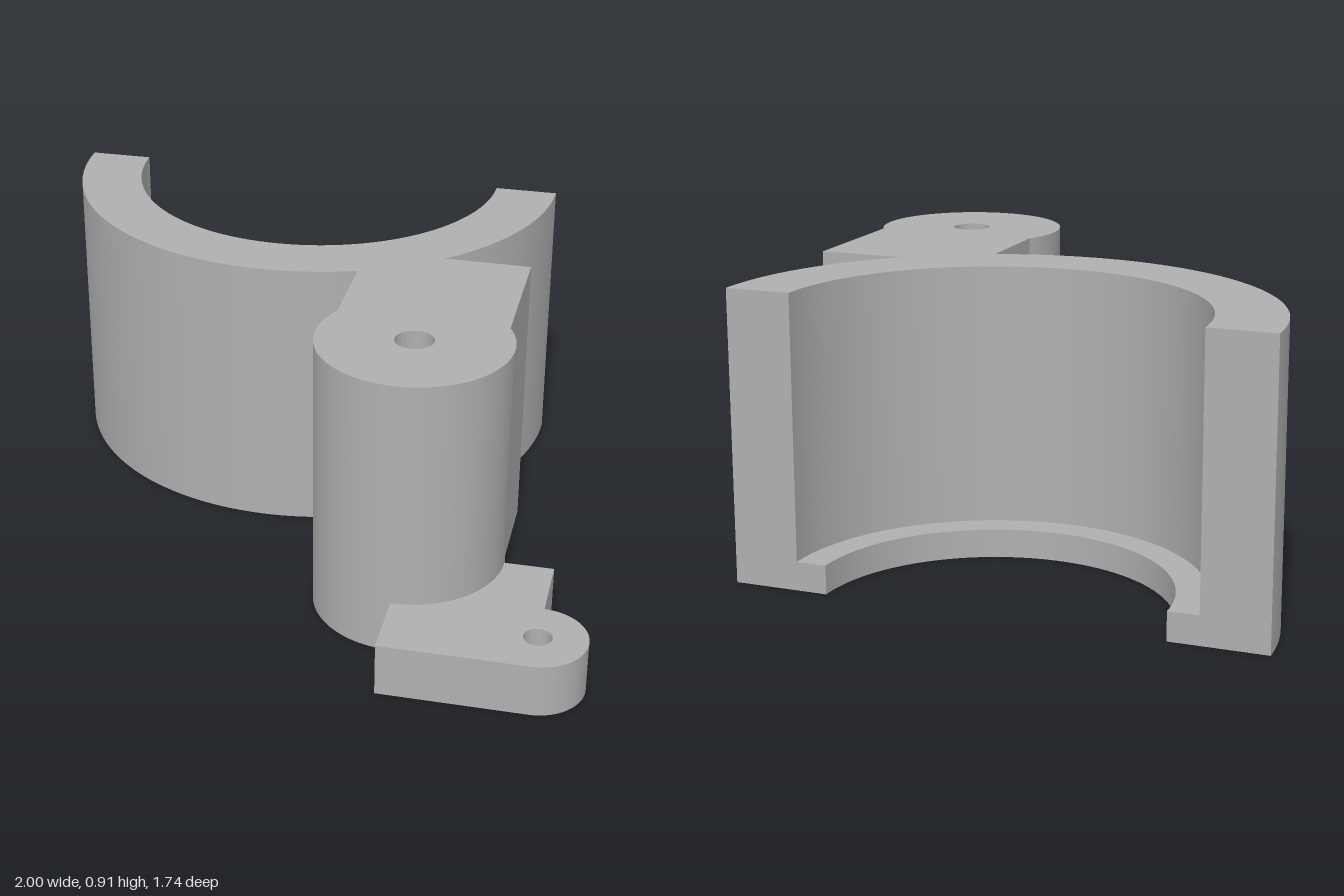
import * as THREE from 'three';
import { toCreasedNormals } from 'three/addons/utils/BufferGeometryUtils.js';

const HEIGHT = 0.907, PAD_HEIGHT = 0.17, LIP_HEIGHT = 0.09;
const RING = { x: -0.17, y: 0.87, outer: 0.83, inner: 0.625, lip: 0.53 };
const BOSS = { x: 0.395, y: -0.34, r: 0.3, hole: 0.06 };
const ARM = { left: 0.13, right: 0.66, back: 0.25 };
const EAR = { x: 0.85, y: -0.715, r: 0.15, hole: 0.043 };
const PI = Math.PI;

export function createModel() {
  const group = new THREE.Group();
  const grey = new THREE.MeshStandardMaterial({ color: 0xb0b0b0 });
  grey.name = 'grey';

  // Plan outlines use shape y = -z and are extruded upwards from the ground
  const addPart = (name, shape, height) => {
    const geo = new THREE.ExtrudeGeometry(shape, { depth: height, bevelEnabled: false, curveSegments: 64 });
    geo.rotateX(-PI / 2);
    const mesh = new THREE.Mesh(toCreasedNormals(geo, 0.4), grey);
    mesh.name = name;
    group.add(mesh);
  };
  const addHole = (shape, c) => {
    shape.holes.push(new THREE.Path().absarc(c.x, c.y, c.hole, 0, 2 * PI, true));
  };

  // Half-ring clamp joined to the arm and its round boss
  const armAngle = Math.acos((ARM.left - RING.x) / RING.outer);
  const backAngle = Math.asin((RING.y - ARM.back) / RING.outer);
  const bossAngle = Math.acos((ARM.right - BOSS.x) / BOSS.r);
  const body = new THREE.Shape();
  body.moveTo(RING.x - RING.outer, RING.y);
  body.absarc(RING.x, RING.y, RING.outer, PI, 2 * PI - armAngle, false);
  body.absarc(BOSS.x, BOSS.y, BOSS.r, PI - bossAngle, 2 * PI + bossAngle, false);
  body.lineTo(ARM.right, ARM.back);
  body.absarc(RING.x, RING.y, RING.outer, 2 * PI - backAngle, 2 * PI, false);
  body.absarc(RING.x, RING.y, RING.inner, 2 * PI, PI, true);
  body.closePath();
  addHole(body, BOSS);
  addPart('clampBody', body, HEIGHT);

  // Thin inner ledge at the bottom of the half ring
  const lip = new THREE.Shape();
  lip.absarc(RING.x, RING.y, RING.inner, PI, 2 * PI, false);
  lip.absarc(RING.x, RING.y, RING.lip, 2 * PI, PI, true);
  lip.closePath();
  addPart('innerLip', lip, LIP_HEIGHT);

  // Low mounting pad with a rounded ear; its corner covers a quarter of the boss hole
  const pad = new THREE.Shape();
  pad.moveTo(BOSS.x, BOSS.y);
  pad.lineTo(BOSS.x, EAR.y - EAR.r);
  pad.absarc(EAR.x, EAR.y, EAR.r, -PI / 2, PI / 2, false);
  pad.lineTo(EAR.x, BOSS.y);
  pad.closePath();
  addHole(pad, EAR);
  addPart('mountingPad', pad, PAD_HEIGHT);

  return group;
}
